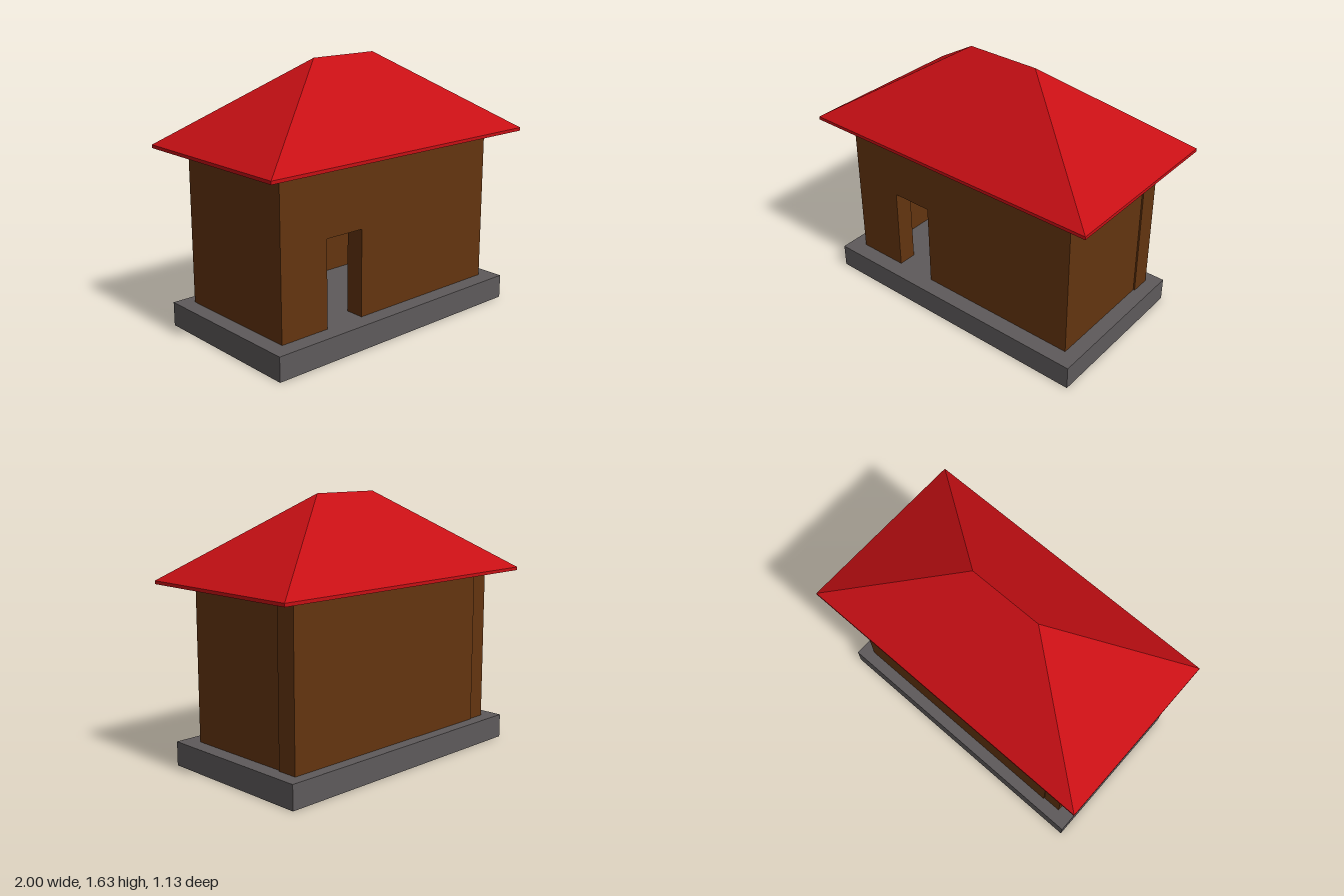
import * as THREE from 'three';

const material = (color) => new THREE.MeshStandardMaterial({ color, flatShading: true });

// Box given by its low and high limits on each axis
function block(name, mat, [x0, x1], [y0, y1], [z0, z1]) {
  const geometry = new THREE.BoxGeometry(x1 - x0, y1 - y0, z1 - z0);
  geometry.translate((x0 + x1) / 2, (y0 + y1) / 2, (z0 + z1) / 2);
  const mesh = new THREE.Mesh(geometry, mat);
  mesh.name = name;
  return mesh;
}

// Front wall with a doorway open down to the floor
function frontWall(mat, floor, top) {
  const outline = [
    [-0.84, floor], [-0.51, floor], [-0.51, 0.69], [-0.245, 0.69],
    [-0.245, floor], [0.815, floor], [0.815, top], [-0.84, top],
  ];
  const shape = new THREE.Shape(outline.map(([x, y]) => new THREE.Vector2(x, y)));
  const geometry = new THREE.ExtrudeGeometry(shape, { depth: 0.12, bevelEnabled: false });
  geometry.translate(0, 0, 0.305);
  const mesh = new THREE.Mesh(geometry, mat);
  mesh.name = 'frontWall';
  return mesh;
}

// Hipped roof: a box whose middle ring is the eave and whose top closes to a ridge
function hipRoof(mat, bottom, eave, ridge) {
  const geometry = new THREE.BoxGeometry(2, 2, 1.13, 1, 2, 1);
  const p = geometry.attributes.position;
  for (let i = 0; i < p.count; i++) {
    const level = Math.round(p.getY(i));
    p.setY(i, [bottom, eave, ridge][level + 1]);
    if (level === 1) {
      p.setX(i, Math.sign(p.getX(i)) * 0.235);
      p.setZ(i, 0);
    }
  }
  geometry.computeVertexNormals();
  const mesh = new THREE.Mesh(geometry, mat);
  mesh.name = 'roof';
  return mesh;
}

export function createModel() {
  const group = new THREE.Group();
  group.name = 'house';
  const stone = material(0x5e5a5b);
  const wood = material(0x63340f);
  const red = material(0xc60f14);
  const floor = 0.15, top = 1.115;
  const height = [floor, top];

  group.add(
    block('foundation', stone, [-0.94, 0.91], [0, floor], [-0.51, 0.53]),
    frontWall(wood, floor, top),
    block('leftWall', wood, [0.695, 0.815], height, [-0.305, 0.305]),
    block('rightWall', wood, [-0.84, -0.72], height, [-0.428, 0.305]),
    // the back wall stands slightly proud of the side walls
    block('backWall', wood, [-0.72, 0.825], height, [-0.435, -0.305]),
    hipRoof(red, top, 1.135, 1.63),
  );
  return group;
}
